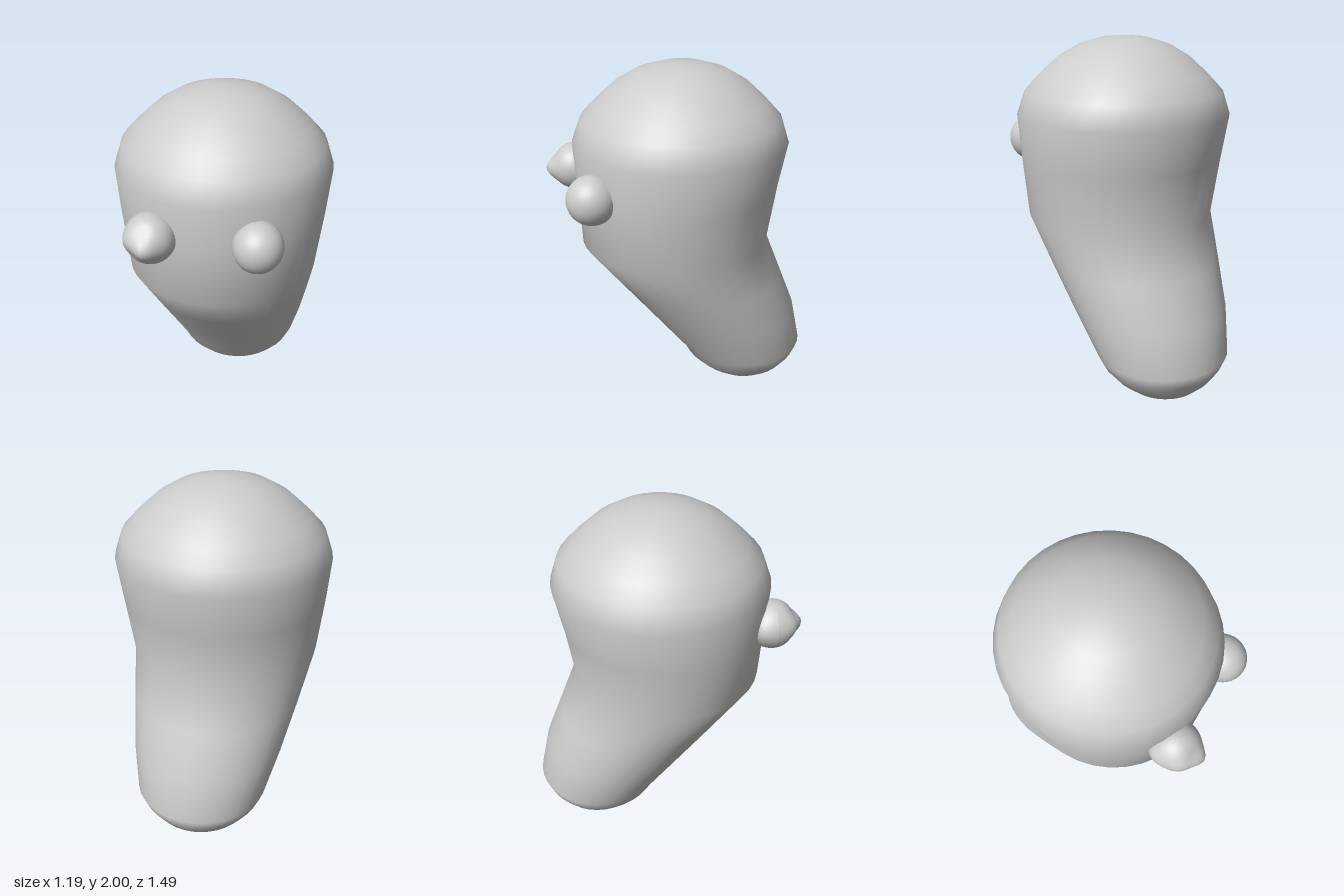
import * as THREE from 'three';

const material = new THREE.MeshStandardMaterial({ color: 0xcccccc });

// Smooth closed skin through horizontal ellipses [y, centre z, half width, half depth], bottom to top
function loft(rings, sides) {
  const positions = [];
  const index = [];
  const first = rings[0];
  const last = rings[rings.length - 1];
  const body = rings.slice(1, -1);

  for (const [y, z, rx, rz] of body) {
    for (let i = 0; i < sides; i++) {
      const a = (i / sides) * Math.PI * 2;
      positions.push(Math.sin(a) * rx, y, z + Math.cos(a) * rz);
    }
  }
  const bottom = positions.length / 3;
  positions.push(0, first[0], first[1], 0, last[0], last[1]);

  const top = (body.length - 1) * sides;
  for (let i = 0; i < sides; i++) {
    const j = (i + 1) % sides;
    for (let r = 0; r < top; r += sides) {
      index.push(r + i, r + j, r + sides + j, r + i, r + sides + j, r + sides + i);
    }
    index.push(bottom, j, i, bottom + 1, top + i, top + j);
  }
  const geometry = new THREE.BufferGeometry();
  geometry.setAttribute('position', new THREE.Float32BufferAttribute(positions, 3));
  geometry.setIndex(index);
  geometry.computeVertexNormals();
  return geometry;
}

function addMesh(group, name, geometry) {
  const mesh = new THREE.Mesh(geometry, material);
  mesh.name = name;
  group.add(mesh);
  return mesh;
}

// Ball pulled out into a blunt point at the front, with a small nub on top and shallow dents
function lumpyBall(radius) {
  const geometry = new THREE.SphereGeometry(radius, 32, 24);
  const lumps = [
    [new THREE.Vector3(0.04, -0.04, 1), 0.25, 14],
    [new THREE.Vector3(-0.7, 0.1, 0.7), 0.08, 12],
    [new THREE.Vector3(-0.1, 0.55, 0.8), -0.07, 18],
    [new THREE.Vector3(-0.45, -0.35, 0.8), -0.07, 18],
    [new THREE.Vector3(-0.8, 0.1, -0.55), 0.12, 10],
  ];
  lumps.forEach(([direction]) => direction.normalize());
  const p = geometry.attributes.position;
  const v = new THREE.Vector3();
  for (let i = 0; i < p.count; i++) {
    const unit = v.fromBufferAttribute(p, i).normalize();
    let scale = 1;
    for (const [direction, height, sharpness] of lumps) {
      scale += height * Math.exp(sharpness * (unit.dot(direction) - 1));
    }
    unit.multiplyScalar(radius * scale);
    p.setXYZ(i, unit.x, unit.y, unit.z);
  }
  geometry.computeVertexNormals();
  return geometry;
}

export function createModel() {
  const model = new THREE.Group();
  model.name = 'bentCapsuleCreature';

  // Bent body: rounded foot swept back, upright trunk, domed head
  addMesh(model, 'body', loft([
    [0.005, -0.4, 0, 0],
    [0.02, -0.395, 0.11, 0.12],
    [0.06, -0.395, 0.21, 0.21],
    [0.12, -0.388, 0.285, 0.28],
    [0.19, -0.377, 0.344, 0.338],
    [0.26, -0.372, 0.377, 0.371],
    [0.5, -0.252, 0.436, 0.438],
    [0.75, -0.104, 0.485, 0.485],
    [1.0, 0.044, 0.53, 0.532],
    [1.33, 0.027, 0.57, 0.563],
    [1.576, 0.01, 0.593, 0.595],
    [1.705, 0.007, 0.55, 0.55],
    [1.79, 0.006, 0.47, 0.47],
    [1.885, 0.005, 0.365, 0.365],
    [1.95, 0.005, 0.254, 0.254],
    [1.988, 0.005, 0.13, 0.13],
    [2.0, 0.005, 0, 0],
  ], 36));

  // Plain round eye on the left
  const leftEye = addMesh(model, 'leftEye', new THREE.SphereGeometry(0.134, 32, 20));
  leftEye.scale.set(0.97, 1, 1);
  leftEye.position.set(0.297, 1.375, 0.542);

  // Misshapen pointed eye on the right
  const rightEye = addMesh(model, 'rightEye', lumpyBall(0.134));
  rightEye.position.set(-0.247, 1.375, 0.576);

  return model;
}
